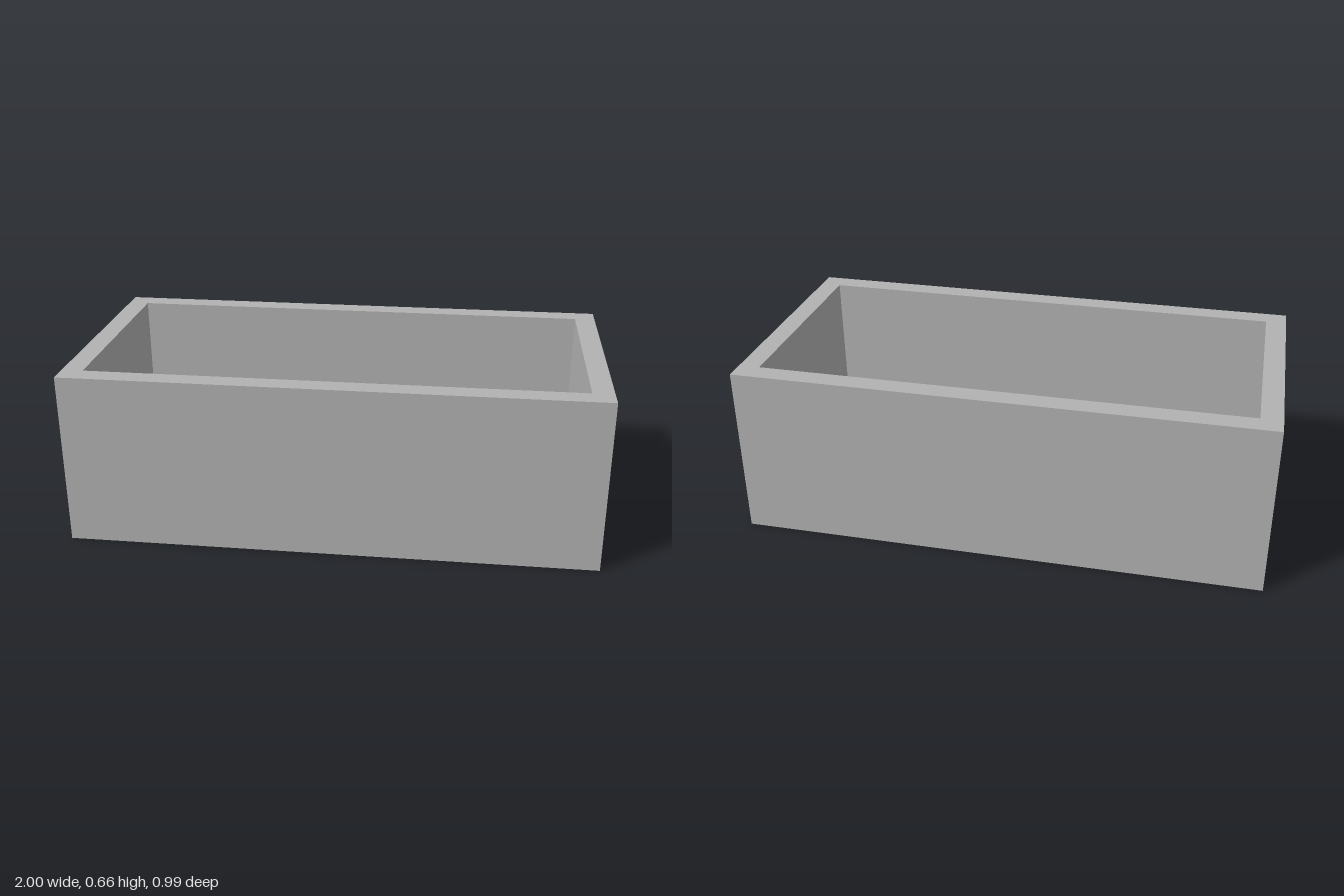
import * as THREE from 'three';
import { mergeGeometries } from 'three/addons/utils/BufferGeometryUtils.js';

const HX = 1, HZ = 0.497, H = 0.664;   // outer half width, half depth, height
const WALL = 0.08, FLOOR = 0.08;       // wall and floor thickness
const HOLE_R = 0.05, HOLE_DEPTH = 0.035;
const HOLE_X = [-0.3, -0.5, -0.7];

function rectangle(hx, hz, Type = THREE.Shape) {
  return new Type([
    new THREE.Vector2(-hx, -hz), new THREE.Vector2(hx, -hz),
    new THREE.Vector2(hx, hz), new THREE.Vector2(-hx, hz),
  ]);
}

// Horizontal face at height y, facing up (1) or down (-1)
function flatFace(shape, y, facing) {
  return new THREE.ShapeGeometry(shape, 24).rotateX(-facing * Math.PI / 2).translate(0, y, 0);
}

// Four upright faces around a rectangle, facing out (1) or in (-1)
function sides(hx, hz, y0, y1, facing) {
  const faces = [];
  for (let i = 0; i < 4; i++) {
    const [half, dist] = i % 2 ? [hz, hx] : [hx, hz];
    faces.push(new THREE.PlaneGeometry(2 * half, y1 - y0)
      .translate(0, (y0 + y1) / 2, facing * dist)
      .rotateY(i * Math.PI / 2));
  }
  return faces;
}

export function createModel() {
  const group = new THREE.Group();
  const grey = new THREE.MeshStandardMaterial({ color: 0xb2b2b2 });
  grey.name = 'grey';
  const ix = HX - WALL, iz = HZ - WALL;

  // Open box: outside walls, cavity walls, rim, cavity floor and drilled underside
  const rim = rectangle(HX, HZ);
  rim.holes.push(rectangle(ix, iz, THREE.Path));
  const underside = rectangle(HX, HZ);
  for (const x of HOLE_X) {
    underside.holes.push(new THREE.Path().absarc(x, 0, HOLE_R, 0, Math.PI * 2, true));
  }
  const box = new THREE.Mesh(mergeGeometries([
    ...sides(HX, HZ, 0, H, 1),
    ...sides(ix, iz, FLOOR, H, -1),
    flatFace(rim, H, 1),
    flatFace(rectangle(ix, iz), FLOOR, 1),
    flatFace(underside, 0, -1),
  ]), grey);
  box.name = 'openBox';
  group.add(box);

  // Blind round holes in the underside; the profile runs downward so the wall faces inward
  const holeGeometry = mergeGeometries([
    new THREE.LatheGeometry([
      new THREE.Vector2(HOLE_R, HOLE_DEPTH), new THREE.Vector2(HOLE_R, 0),
    ], 48),
    new THREE.CircleGeometry(HOLE_R, 48).rotateX(Math.PI / 2).translate(0, HOLE_DEPTH, 0),
  ]);
  HOLE_X.forEach((x, i) => {
    const hole = new THREE.Mesh(holeGeometry, grey);
    hole.name = `bottomHole${i + 1}`;
    hole.position.x = x;
    group.add(hole);
  });

  return group;
}
